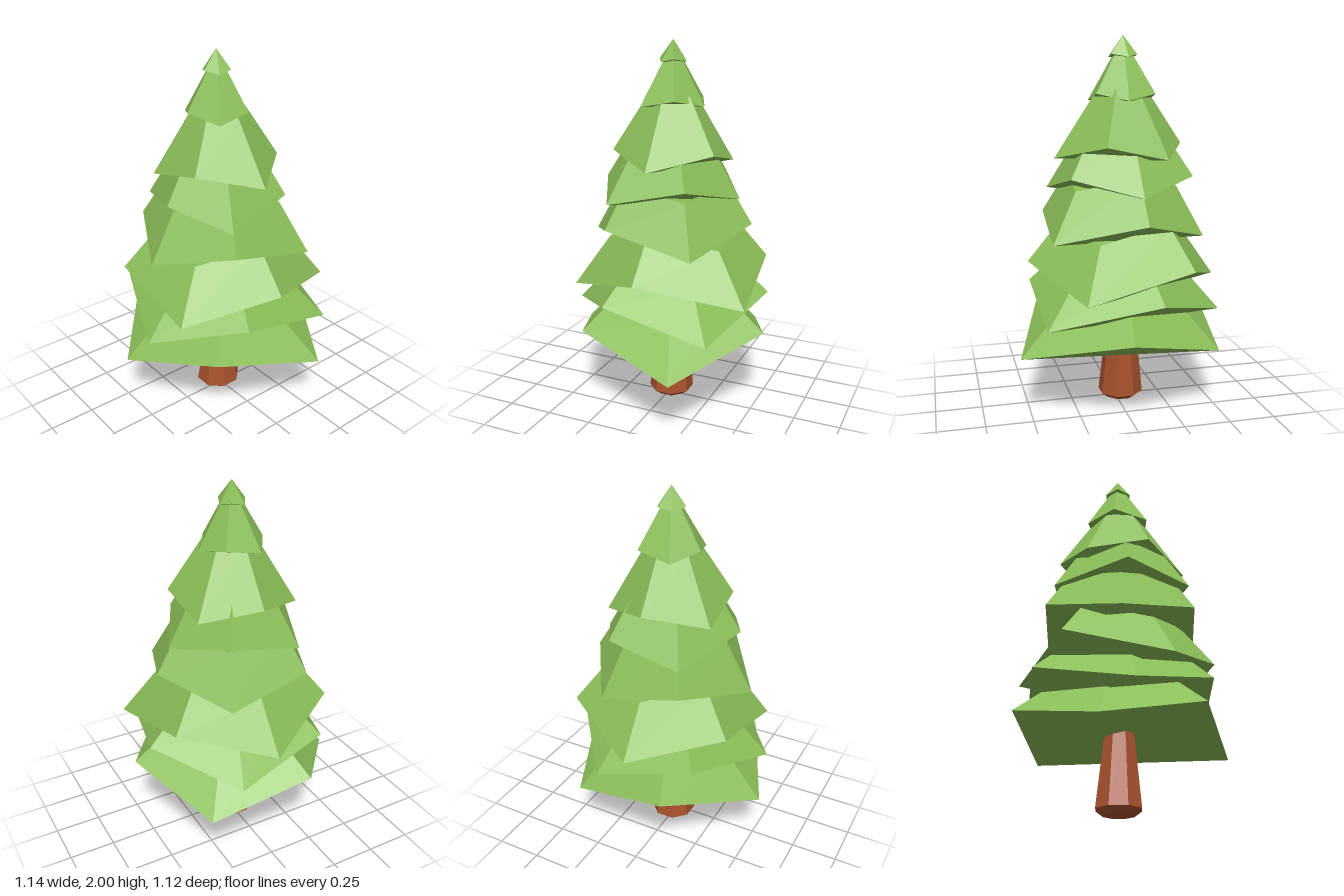
import * as THREE from 'three';

// Surface between stacked rings of [x, y, z] points (counter-clockwise from above), closed at both ends
function loft(rings) {
  const pos = [];
  const n = rings[0].length;
  const tri = (a, b, c) => pos.push(...a, ...b, ...c);
  for (let k = 0; k < rings.length - 1; k++) {
    const lo = rings[k], hi = rings[k + 1];
    for (let i = 0; i < n; i++) {
      const j = (i + 1) % n;
      tri(lo[i], lo[j], hi[j]);
      tri(lo[i], hi[j], hi[i]);
    }
  }
  const bottom = rings[0], top = rings[rings.length - 1];
  for (let i = 1; i < n - 1; i++) {
    tri(bottom[0], bottom[i + 1], bottom[i]);
    tri(top[0], top[i], top[i + 1]);
  }
  const g = new THREE.BufferGeometry();
  g.setAttribute('position', new THREE.Float32BufferAttribute(pos, 3));
  g.computeVertexNormals();
  return g;
}

// One zigzag-rimmed branch layer: the rim shrinks by `scale` towards its middle at height `top`
function tierGeometry({ rim, low, high, scale, top }) {
  const lower = rim.map(([x, z], i) => [x, i % 2 ? high : low, z]);
  const mean = [0, 1, 2].map(a => lower.reduce((s, p) => s + p[a], 0) / lower.length);
  const upper = lower.map(([x, y, z]) => [
    mean[0] + (x - mean[0]) * scale,
    top + (y - mean[1]) * scale,
    mean[2] + (z - mean[2]) * scale,
  ]);
  return loft([lower, upper]);
}

// Layers from the ground up; rim points are [x, z], alternately low and high
const tiers = [
  { low: 0.345, high: 0.48, scale: 0.6, top: 0.62,
    rim: [[0.36, -0.485], [-0.195, -0.56], [-0.57, -0.115], [-0.33, 0.4], [0.245, 0.56], [0.57, 0.035]] },
  { low: 0.53, high: 0.66, scale: 0.62, top: 0.8,
    rim: [[0.205, -0.535], [-0.32, -0.455], [-0.535, 0.055], [-0.175, 0.455], [0.395, 0.44], [0.54, -0.125]] },
  { low: 0.685, high: 0.81, scale: 0.65, top: 0.99,
    rim: [[0.015, -0.565], [-0.44, -0.305], [-0.455, 0.245], [0.015, 0.485], [0.535, 0.265], [0.47, -0.305]] },
  { low: 0.945, high: 1.05, scale: 0.68, top: 1.24,
    rim: [[0.215, -0.435], [-0.23, -0.415], [-0.45, -0.01], [-0.195, 0.37], [0.29, 0.39], [0.455, -0.065]] },
  { low: 1.18, high: 1.265, scale: 0.65, top: 1.44,
    rim: [[0.385, -0.06], [0.19, -0.38], [-0.205, -0.375], [-0.36, 0.02], [-0.195, 0.345], [0.21, 0.28]] },
  { low: 1.36, high: 1.43, scale: 0.42, top: 1.7,
    rim: [[0.29, -0.215], [0.005, -0.37], [-0.29, -0.2], [-0.265, 0.13], [0.02, 0.335], [0.3, 0.11]] },
  { low: 1.66, high: 1.695, scale: 0.25, top: 1.91,
    rim: [[0.19, -0.03], [0.12, -0.19], [-0.07, -0.21], [-0.165, -0.06], [-0.105, 0.125], [0.085, 0.12]] },
  { low: 1.885, high: 1.9, scale: 0, top: 2,
    rim: [[0.08, -0.055], [0.045, -0.11], [-0.03, -0.11], [-0.07, -0.04], [-0.03, 0.03], [0.045, 0.03]] },
];

// Eight-sided trunk sections: [centre x, height, centre z, radius]
const trunkSections = [
  [0.005, 0, -0.03, 0.085],
  [0.005, 0.03, -0.03, 0.125],
  [0.025, 0.4, -0.028, 0.085],
  [0.03, 0.56, -0.028, 0.07],
];

function octagon([cx, y, cz, r]) {
  return Array.from({ length: 8 }, (_, i) => {
    const a = (i + 0.5) * Math.PI / 4;
    return [cx + r * Math.sin(a), y, cz + r * Math.cos(a)];
  });
}

export function createModel() {
  const foliage = new THREE.MeshStandardMaterial({ color: 0x8bbe58 });
  foliage.name = 'leaf green';
  const bark = new THREE.MeshStandardMaterial({ color: 0xa9522d });
  bark.name = 'bark brown';
  foliage.flatShading = bark.flatShading = true;

  const tree = new THREE.Group();
  tree.name = 'pineTree';

  const trunk = new THREE.Mesh(loft(trunkSections.map(octagon)), bark);
  trunk.name = 'trunk';
  tree.add(trunk);

  // Branch layers, ending in the pointed tip
  tiers.forEach((tier, i) => {
    const mesh = new THREE.Mesh(tierGeometry(tier), foliage);
    mesh.name = i === tiers.length - 1 ? 'treeTip' : `branchLayer${i + 1}`;
    tree.add(mesh);
  });
  return tree;
}
